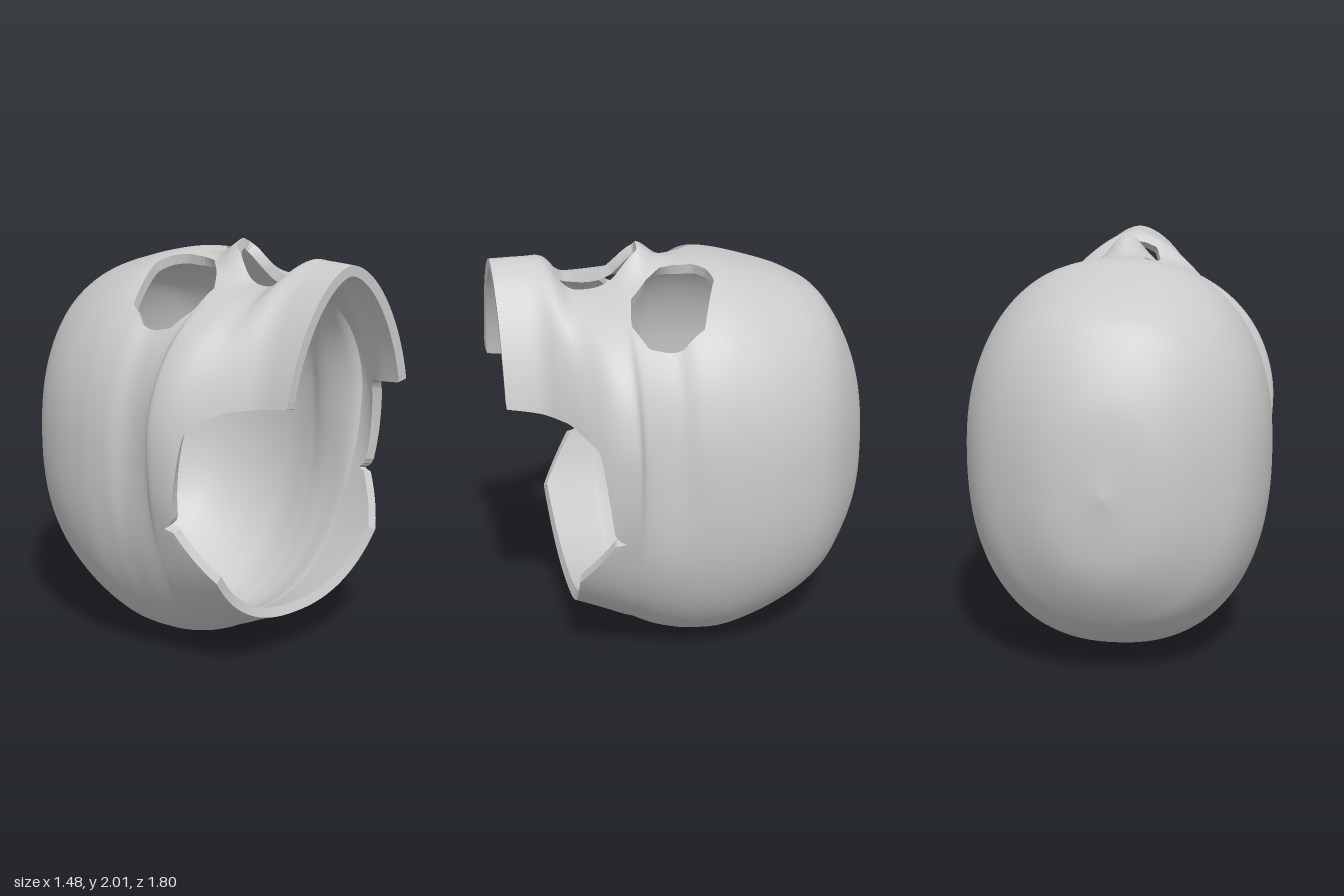
import * as THREE from 'three';

const THICK = 0.048, ROWS = 128, COLS = 152;

// Cross-section stations along z: [z, top y, bottom y]
const heights = [
  [-0.9, 0.95, 0.95], [-0.85, 1.36, 0.58], [-0.71, 1.66, 0.32], [-0.56, 1.78, 0.18],
  [-0.35, 1.86, 0.07], [-0.13, 1.915, 0.0], [0.04, 1.9, 0.0], [0.14, 1.86, 0.02],
  [0.22, 1.85, 0.05], [0.31, 1.84, 0.1], [0.36, 1.83, 0.12], [0.46, 1.83, 0.17],
  [0.56, 1.86, 0.215], [0.65, 1.95, 0.25], [0.75, 1.96, 0.29], [0.94, 1.96, 0.37],
];
// Same stations: [half width of face side, half width of back side, y of widest point]
const widths = [
  [0, 0, 0.95], [0.27, 0.27, 0.95], [0.49, 0.49, 0.97], [0.63, 0.63, 0.98],
  [0.715, 0.715, 1], [0.74, 0.74, 1], [0.725, 0.725, 1.02], [0.685, 0.715, 1.05],
  [0.68, 0.71, 1.06], [0.7, 0.7, 1.06], [0.74, 0.7, 1.07], [0.71, 0.7, 1.1],
  [0.63, 0.69, 1.12], [0.53, 0.68, 1.15], [0.44, 0.66, 1.18], [0.41, 0.62, 1.2],
];
const curve = (rows) => new THREE.CatmullRomCurve3(
  rows.map((r) => new THREE.Vector3(...r)), false, 'catmullrom', 0.5);
const heightCurve = curve(heights), widthCurve = curve(widths);

// Outlines of the openings: eyes and nose in (x, z), jaw opening in (z, y)
const eye = [[0.1, 0.05], [0.12, -0.03], [0.18, -0.08], [0.27, -0.1], [0.5, 0], [0.53, 0.1],
  [0.5, 0.26], [0.41, 0.32], [0.26, 0.29], [0.16, 0.2], [0.1, 0.12]];
const noseHalf = [[0.05, 0.215], [0.09, 0.33], [0.14, 0.53], [0.12, 0.6], [0.06, 0.61]];
const nose = [...noseHalf, ...noseHalf.map(([x, z]) => [-x, z]).reverse()];
const jawOpening = [[0.33, 0.72], [0.46, 0.8], [0.52, 1.24], [0.63, 1.33], [0.9, 1.375], [0.9, 3],
  [2, 3], [2, -1], [0.59, -1], [0.59, 0.23], [0.61, 0.52], [0.46, 0.755]];

// Signed distance to a polygon, positive outside
function polygonDistance(poly, x, y) {
  let d = Infinity, inside = false;
  poly.forEach(([ax, ay], i) => {
    const [bx, by] = poly[(i + 1) % poly.length];
    const ex = bx - ax, ey = by - ay;
    const t = THREE.MathUtils.clamp(((x - ax) * ex + (y - ay) * ey) / (ex * ex + ey * ey), 0, 1);
    d = Math.min(d, Math.hypot(x - ax - t * ex, y - ay - t * ey));
    if ((ay > y) !== (by > y) && x < ax + ((y - ay) / ey) * ex) inside = !inside;
  });
  return inside ? -d : d;
}

// Positive where there is bone
function bone(p) {
  let f = polygonDistance(jawOpening, p.z, p.y);
  if (p.y > 1.3) {
    f = Math.min(f, polygonDistance(eye, Math.abs(p.x), p.z), polygonDistance(nose, p.x, p.z));
  }
  return f;
}

// Outer surface: superellipse sections plus the bridge of the nose
function surface(angle, t) {
  const { x: z, y: top, z: bottom } = heightCurve.getPoint(t);
  const { x: faceW, y: backW, z: mid } = widthCurve.getPoint(t);
  const c = Math.cos(angle), s = Math.sin(angle);
  const n = s > 0 ? 2.3 - 0.55 * THREE.MathUtils.smoothstep(z, 0.42, 0.7) : 2.3;
  const w = THREE.MathUtils.lerp(backW, faceW, THREE.MathUtils.smoothstep(s, -0.45, 0.2));
  const x = w * Math.sign(c) * Math.abs(c) ** (2 / n);
  let y = mid + (s > 0 ? top - mid : bottom - mid) * Math.sign(s) * Math.sign(s || 1) * Math.abs(s) ** (2 / n);
  if (s > 0) y += 0.15 * Math.exp(-((x / 0.11) ** 2) - ((z - 0.225) / 0.12) ** 2);
  return new THREE.Vector3(x, y, z);
}

function surfaceVertex(i, j) {
  const angle = ((i % COLS) / COLS) * Math.PI * 2, t = j / ROWS, e = 0.004;
  const tn = THREE.MathUtils.clamp(t, 0.003, 0.995);
  const du = surface(angle + e, tn).sub(surface(angle - e, tn));
  const dv = surface(angle, tn + 0.002).sub(surface(angle, tn - 0.002));
  const normal = du.cross(dv).normalize();
  const outer = surface(angle, t);
  return { outer, normal, inner: outer.clone().addScaledVector(normal, -THICK), f: bone(outer) };
}

function mix(a, b) {
  const k = a.f / (a.f - b.f);
  return {
    outer: a.outer.clone().lerp(b.outer, k),
    inner: a.inner.clone().lerp(b.inner, k),
    normal: a.normal.clone().lerp(b.normal, k).normalize(),
    f: 0, cut: true,
  };
}

function makeMesh(name, points, normals) {
  const g = new THREE.BufferGeometry().setFromPoints(points);
  if (normals) {
    g.setAttribute('normal', new THREE.Float32BufferAttribute(normals.flatMap((n) => n.toArray()), 3));
  } else g.computeVertexNormals();
  const mesh = new THREE.Mesh(g, new THREE.MeshStandardMaterial({ color: 0xcccccc }));
  mesh.name = name;
  return mesh;
}

export function createModel() {
  const grid = [];
  for (let j = 0; j <= ROWS; j++) {
    grid.push(Array.from({ length: COLS }, (_, i) => surfaceVertex(i, j)));
  }
  const outer = [], outerN = [], inner = [], innerN = [], rim = [];

  // Trim each triangle to the bone; cut edges get a wall through the thickness
  function addTriangle(tri) {
    const kept = [];
    tri.forEach((a, k) => {
      const b = tri[(k + 1) % 3];
      if (a.f > 0) kept.push(a);
      if ((a.f > 0) !== (b.f > 0)) kept.push(mix(a, b));
    });
    for (let k = 1; k + 1 < kept.length; k++) {
      const [a, b, c] = [kept[0], kept[k], kept[k + 1]];
      for (const v of [a, b, c]) { outer.push(v.outer); outerN.push(v.normal); }
      for (const v of [a, c, b]) { inner.push(v.inner); innerN.push(v.normal.clone().negate()); }
    }
    kept.forEach((a, k) => {
      const b = kept[(k + 1) % kept.length];
      if (a.cut && b.cut) rim.push(b.outer, a.outer, a.inner, b.outer, a.inner, b.inner);
    });
  }

  for (let j = 0; j < ROWS; j++) {
    for (let i = 0; i < COLS; i++) {
      const n = (i + 1) % COLS;
      const a = grid[j][i], b = grid[j][n], c = grid[j + 1][n], d = grid[j + 1][i];
      // Mirror the diagonal so both halves match
      const flip = i >= COLS / 4 && i < (COLS * 3) / 4;
      if (flip) { addTriangle([a, b, d]); addTriangle([b, c, d]); }
      else { addTriangle([a, b, c]); addTriangle([a, c, d]); }
    }
  }

  const group = new THREE.Group();
  group.name = 'skull';
  group.add(
    makeMesh('outerBone', outer, outerN),
    makeMesh('innerBone', inner, innerN),
    makeMesh('openingRims', rim),
  );
  return group;
}
